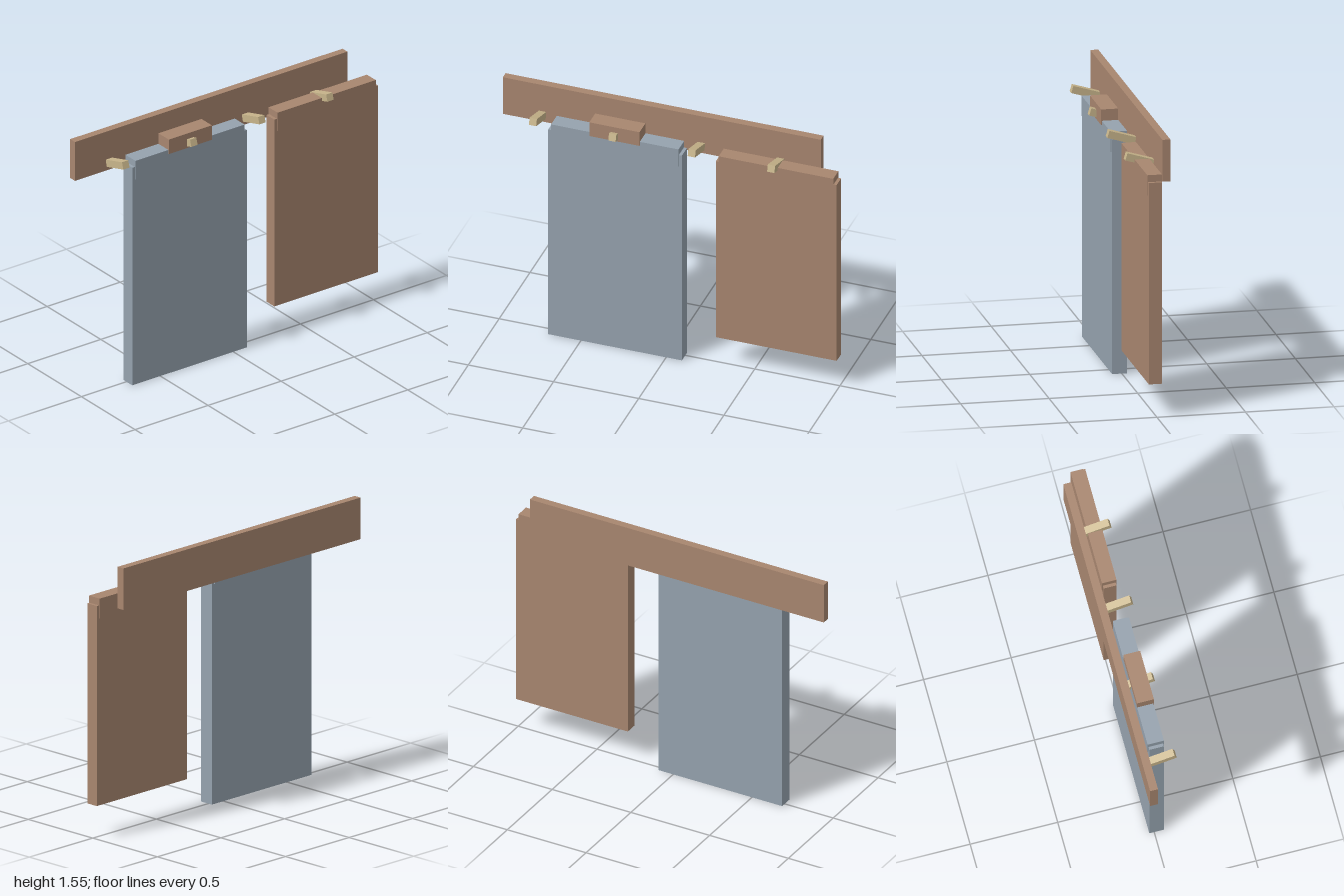
import * as THREE from 'three';

const paint = (name, color) => {
  const m = new THREE.MeshStandardMaterial({ color });
  m.name = name;
  return m;
};

// Box given by its lower and upper limits on each axis
function block(name, material, [x0, x1], [y0, y1], [z0, z1]) {
  const mesh = new THREE.Mesh(new THREE.BoxGeometry(x1 - x0, y1 - y0, z1 - z0), material);
  mesh.position.set((x0 + x1) / 2, (y0 + y1) / 2, (z0 + z1) / 2);
  mesh.name = name;
  return mesh;
}

// Hanging cloth: a long drop with a slightly narrower, thicker fold over its top
function hanging(name, material, [x0, x1], bottom, [z0, z1]) {
  const g = new THREE.Group();
  g.name = name;
  g.add(block('drop', material, [x0, x1], [bottom, 1.345], [z0, z1]));
  g.add(block('topFold', material, [x0 + 0.018, x1 - 0.018], [1.27, 1.385], [z0 - 0.005, z1 + 0.005]));
  return g;
}

export function createModel() {
  const brown = paint('brown', 0xa8866f);
  const blue = paint('greyBlue', 0x95a2ae);
  const wood = paint('paleWood', 0xc8b58b);

  const model = new THREE.Group();
  model.name = 'pegRack';

  // Wall board
  model.add(block('backBoard', brown, [-1, 0.866], [1.31, 1.55], [-0.105, -0.06]));

  // Four pegs, tilted upwards to the front
  for (let i = 0; i < 4; i++) {
    const peg = new THREE.Mesh(new THREE.BoxGeometry(0.043, 0.042, 0.16), wood);
    peg.position.set(-0.767 + i * 0.466, 1.38, 0.02);
    peg.rotation.x = -0.29;
    peg.name = 'peg' + (i + 1);
    model.add(peg);
  }

  // Long cloth with its collar, and the shorter cloth
  model.add(hanging('longCloth', blue, [-0.692, 0.092], 0, [-0.028, 0.055]));
  model.add(block('collar', brown, [-0.448, -0.153], [1.36, 1.45], [-0.033, 0.063]));
  model.add(hanging('shortCloth', brown, [0.288, 0.997], 0.19, [-0.028, 0.045]));

  return model;
}
